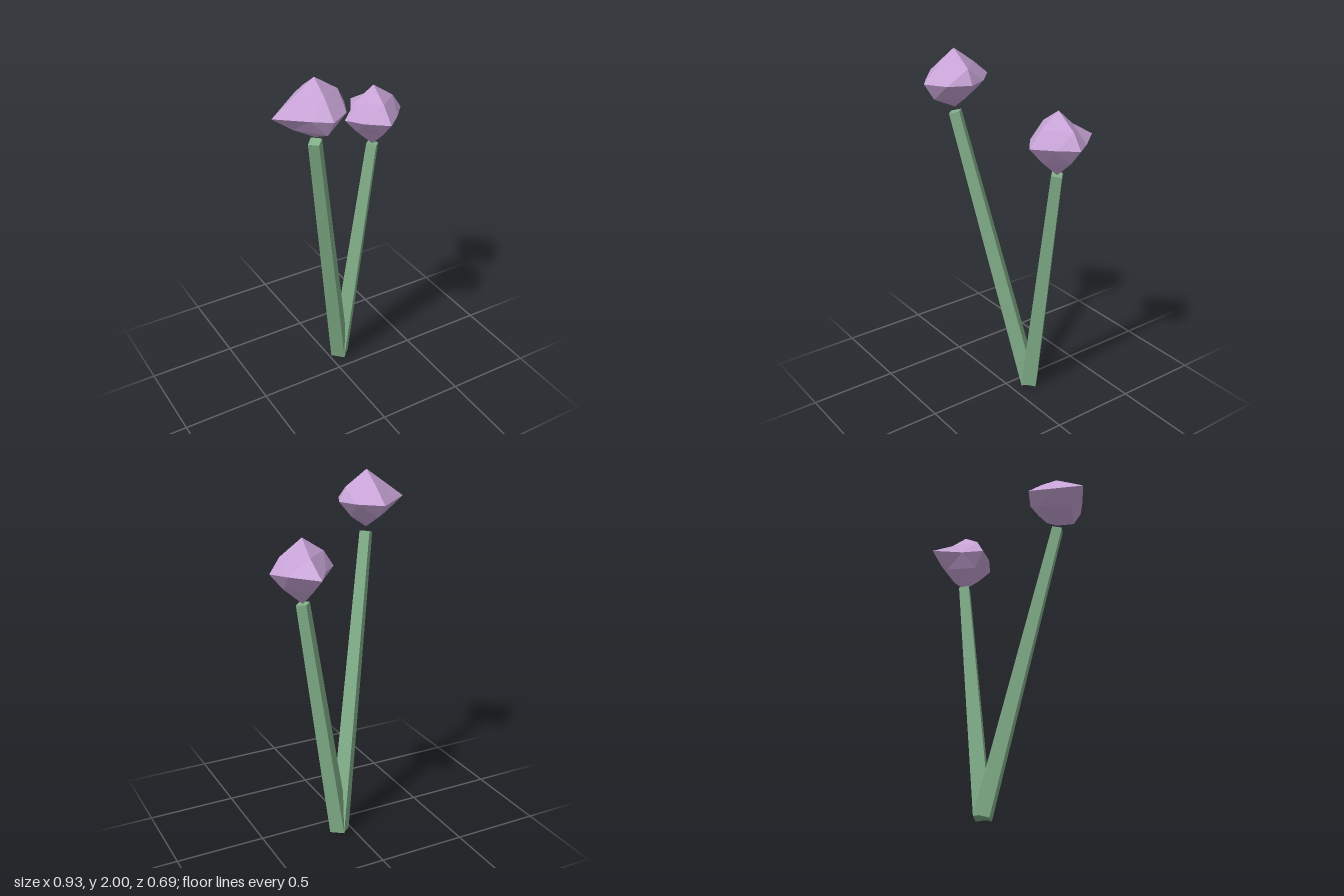
import * as THREE from 'three';

const stemMaterial = new THREE.MeshStandardMaterial({ color: 0x82b08a, flatShading: true });
const budMaterial = new THREE.MeshStandardMaterial({ color: 0xc9a5d8, flatShading: true });

// Tapered four-sided stem between two points
function makeStem(name, from, to) {
  const a = new THREE.Vector3(...from);
  const b = new THREE.Vector3(...to);
  const dir = b.clone().sub(a);
  const stem = new THREE.Mesh(new THREE.CylinderGeometry(0.04, 0.06, dir.length(), 4), stemMaterial);
  stem.position.copy(a).add(b).multiplyScalar(0.5);
  stem.quaternion.setFromUnitVectors(new THREE.Vector3(0, 1, 0), dir.normalize());
  stem.name = name;
  return stem;
}

// Irregular bud: an octahedron split once.
// tips: reach along +x -x +y -y +z -z
// xy, xz, zy: edge points in the quadrants ++, +-, -+, --
function makeBud(name, center, tips, xy, xz, zy) {
  const quadrant = (s, t) => (s > 0 ? 0 : 2) + (t > 0 ? 0 : 1);
  const tip = (axis, s) => {
    const p = [0, 0, 0];
    p[axis] = s * tips[axis * 2 + (s > 0 ? 0 : 1)];
    return p;
  };
  const positions = [];
  for (const sx of [1, -1]) for (const sy of [1, -1]) for (const sz of [1, -1]) {
    const X = tip(0, sx), Y = tip(1, sy), Z = tip(2, sz);
    const [ax, ay] = xy[quadrant(sx, sy)];
    const [bx, bz] = xz[quadrant(sx, sz)];
    const [cz, cy] = zy[quadrant(sz, sy)];
    const XY = [sx * ax, sy * ay, 0];
    const XZ = [sx * bx, 0, sz * bz];
    const YZ = [0, sy * cy, sz * cz];
    for (const [p, q, r] of [[X, XY, XZ], [XY, Y, YZ], [XZ, YZ, Z], [XY, YZ, XZ]]) {
      // mirrored octants need the opposite winding
      positions.push(...p, ...(sx * sy * sz > 0 ? [...q, ...r] : [...r, ...q]));
    }
  }
  const geometry = new THREE.BufferGeometry();
  geometry.setAttribute('position', new THREE.Float32BufferAttribute(positions, 3));
  geometry.computeVertexNormals();
  const bud = new THREE.Mesh(geometry, budMaterial);
  bud.position.set(...center);
  bud.name = name;
  return bud;
}

export function createModel() {
  const group = new THREE.Group();
  group.name = 'flowers';
  const base = [0.072, 0.012, -0.12];

  group.add(
    makeStem('tallStem', base, [-0.235, 1.662, 0.16]),
    makeStem('shortStem', base, [0.28, 1.4, -0.12]),
    makeBud('tallBud', [-0.235, 1.837, 0.16],
      [0.165, 0.23, 0.163, 0.15, 0.185, 0.21],
      [[0.127, 0.078], [0.09, 0.088], [0.115, 0.082], [0.12, 0.083]],
      [[0.11, 0.115], [0.115, 0.105], [0.092, 0.116], [0.115, 0.105]],
      [[0.1, 0.09], [0.127, 0.09], [0.12, 0.076], [0.137, 0.074]]),
    makeBud('shortBud', [0.28, 1.577, -0.12],
      [0.18, 0.177, 0.167, 0.18, 0.183, 0.23],
      [[0.124, 0.082], [0.108, 0.087], [0.12, 0.087], [0.105, 0.08]],
      [[0.097, 0.095], [0.116, 0.093], [0.111, 0.093], [0.09, 0.085]],
      [[0.108, 0.087], [0.098, 0.092], [0.093, 0.082], [0.124, 0.087]]),
  );
  return group;
}
